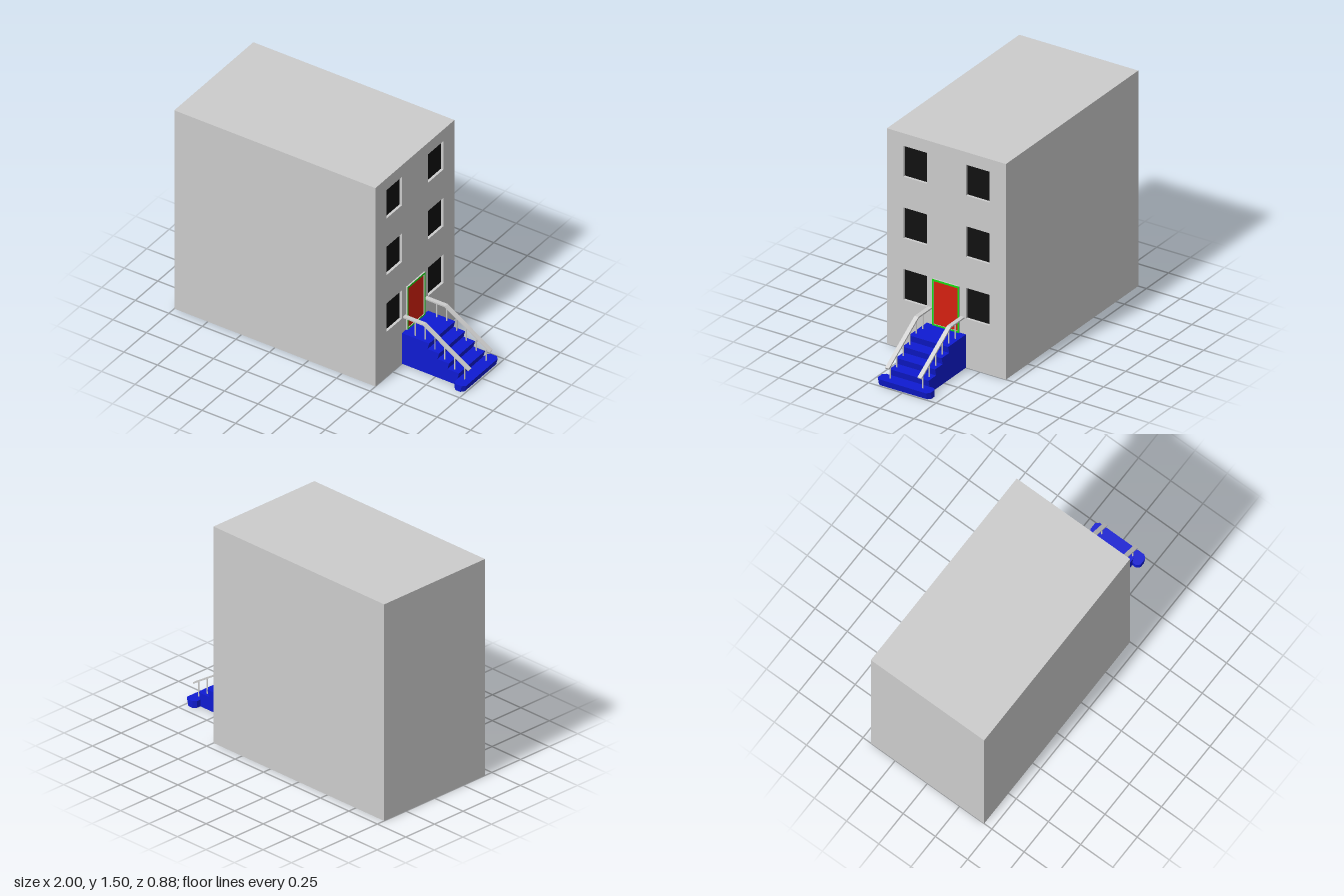
import * as THREE from 'three';

const mat = (color) => new THREE.MeshStandardMaterial({ color, flatShading: true });
const grey = mat(0xcccccc), blue = mat(0x0f1bd2), red = mat(0xd42010);
const green = mat(0x16dc10), black = mat(0x101010);

function add(parent, name, geometry, material) {
  const mesh = new THREE.Mesh(geometry, material);
  mesh.name = name;
  parent.add(mesh);
  return mesh;
}

// Box given by its minimum and maximum corners
function block(parent, name, [x0, y0, z0], [x1, y1, z1], material) {
  const g = new THREE.BoxGeometry(x1 - x0, y1 - y0, z1 - z0);
  g.translate((x0 + x1) / 2, (y0 + y1) / 2, (z0 + z1) / 2);
  return add(parent, name, g, material);
}

const poly = (points) => new THREE.Shape(points.map(([x, y]) => new THREE.Vector2(x, y)));
const rect = (x0, y0, x1, y1) => poly([[x0, y0], [x1, y0], [x1, y1], [x0, y1]]);

// Extrude a shape drawn on the entrance wall (across, up) outwards along x
function wallExtrude(shape, x, depth) {
  return new THREE.ExtrudeGeometry(shape, { depth, bevelEnabled: false }).rotateY(Math.PI / 2).translate(x, 0, 0);
}

export function createModel() {
  const model = new THREE.Group();
  model.name = 'apartmentBuilding';

  // Body, and entrance wall pierced by the window recesses
  block(model, 'buildingBody', [-1, 0, -0.44], [0.48, 1.505, 0.44], grey);
  const wall = rect(-0.44, 0, 0.44, 1.505);
  for (let floor = 0; floor < 3; floor++) {
    const y = 0.342 + floor * 0.43;
    for (const side of [-1, 1]) {
      const z = side * 0.231;
      wall.holes.push(rect(z - 0.086, y, z + 0.086, y + 0.215));
      block(model, 'windowPane', [0.479, y, z - 0.086], [0.482, y + 0.215, z + 0.086], black);
    }
  }
  add(model, 'entranceWall', wallExtrude(wall, 0.48, 0.02), grey);

  // Door with its frame, coloured on the face only
  const frame = rect(-0.1, 0.232, 0.1, 0.556);
  frame.holes.push(rect(-0.089, 0.243, 0.089, 0.542));
  add(model, 'doorFrame', wallExtrude(frame, 0.5, 0.01), [green, grey]);
  block(model, 'door', [0.5, 0.243, -0.089], [0.505, 0.542, 0.089], red);

  // Staircase with raked risers
  const rise = 0.0464, run = 0.074, top = 5 * rise;
  const profile = [[0.5, 0], [0.5, top]];
  for (let i = 0; i < 5; i++) {
    const x = 0.703 + i * run, y = top - i * rise;
    profile.push([x, y], [x - 0.012, y - rise]);
  }
  const stairs = new THREE.ExtrudeGeometry(poly(profile.reverse()), { depth: 0.29, bevelEnabled: false });
  add(model, 'stairs', stairs.translate(0, 0, -0.145), blue);

  // Wide bottom step with clipped corners, narrowing towards the ground
  const c = 0.02, w = 0.195, x0 = 0.913, x1 = 1;
  const plan = poly([[x0, -w + c], [x0 + c, -w], [x1 - c, -w], [x1, -w + c],
    [x1, w - c], [x1 - c, w], [x0 + c, w], [x0, w - c]]);
  const step = new THREE.ExtrudeGeometry(plan, { depth: rise, bevelEnabled: false });
  step.rotateX(-Math.PI / 2);
  const p = step.attributes.position;
  for (let i = 0; i < p.count; i++) {
    if (p.getY(i) < 0.001 && p.getX(i) > 0.95) p.setX(i, p.getX(i) - 0.012);
  }
  step.computeVertexNormals();
  add(model, 'bottomStep', step, blue);

  // Handrails: flat bar following the landing and the slope, on thin posts
  const bar = poly([[0.5, 0.34], [0.651, 0.34], [0.986, 0.126], [0.991, 0.135], [0.655, 0.35], [0.5, 0.35]]);
  for (const side of [-1, 1]) {
    const railing = new THREE.Group();
    railing.name = side > 0 ? 'leftRailing' : 'rightRailing';
    const z = side * 0.12;
    const rail = new THREE.ExtrudeGeometry(bar, { depth: 0.029, bevelEnabled: false });
    add(railing, 'handrail', rail.translate(0, 0, z - 0.0145), grey);
    for (let i = 0; i < 6; i++) {
      const x = 0.583 + i * 0.0735;
      const y0 = top - Math.max(0, i - 1) * rise;
      const y1 = 0.344 - Math.max(0, x - 0.653) * 0.64;
      const post = new THREE.CylinderGeometry(0.0045, 0.0045, y1 - y0, 8);
      add(railing, 'post', post.translate(x, (y0 + y1) / 2, z), grey);
    }
    model.add(railing);
  }
  return model;
}
